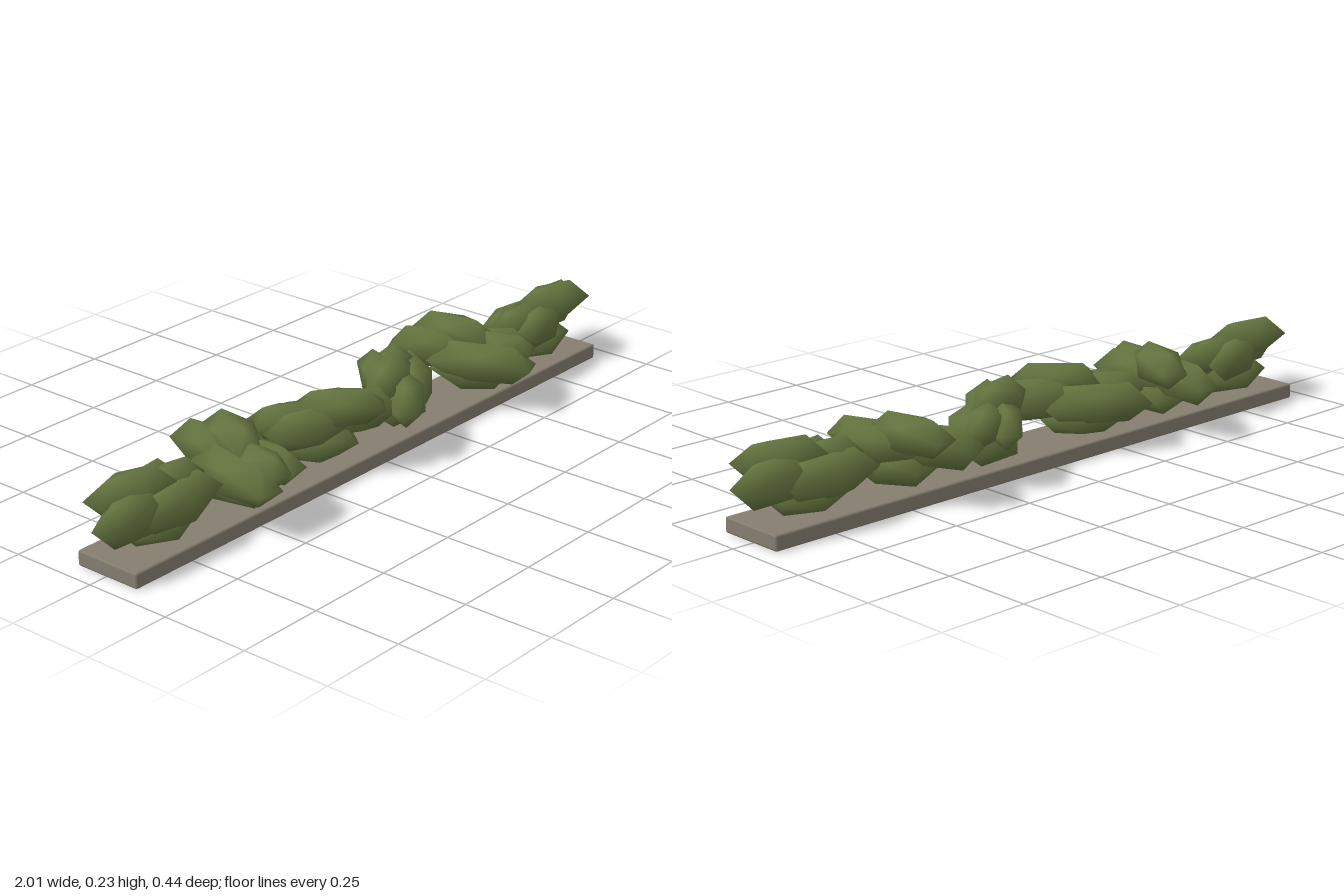
import * as THREE from 'three';
import { mergeVertices } from 'three/addons/utils/BufferGeometryUtils.js';
import { RoundedBoxGeometry } from 'three/addons/geometries/RoundedBoxGeometry.js';

// Smooth-shaded low-poly blob whose half extents are 1
function blobGeometry() {
  const raw = new THREE.IcosahedronGeometry(1 / 0.851, 0);
  raw.deleteAttribute('normal');
  raw.deleteAttribute('uv');
  const geo = mergeVertices(raw, 1e-4);
  geo.computeVertexNormals();
  return geo;
}

// Leaf clumps of one shrub: name, centre, half extents, yaw
const CLUMPS = [
  ['endClump', [-0.095, 0.15, 0.03], [0.12, 0.057, 0.055], 0.2],
  ['topClump', [-0.05, 0.185, -0.015], [0.12, 0.05, 0.058], -0.1],
  ['frontClump', [0.055, 0.132, 0.035], [0.148, 0.055, 0.058], 0.14],
  ['backClump', [0.035, 0.15, -0.045], [0.125, 0.052, 0.05], 0.4],
  ['lowerClump', [0.015, 0.093, 0], [0.11, 0.05, 0.08], 0],
  ['upperClump', [0.095, 0.162, -0.015], [0.09, 0.045, 0.05], 0.1],
];

export function createModel() {
  const model = new THREE.Group();
  model.name = 'planterRow';
  const stone = new THREE.MeshStandardMaterial({ color: 0x857d70 });
  const leaf = new THREE.MeshStandardMaterial({ color: 0x64743f });
  const blob = blobGeometry();

  // Base slab with chamfered edges
  const slab = new THREE.Mesh(new RoundedBoxGeometry(1.89, 0.043, 0.2, 1, 0.006), stone);
  slab.name = 'baseSlab';
  slab.position.set(-0.003, 0.0215, 0.006);
  model.add(slab);

  // Six copies of the shrub, each turned by a constant step
  const stemGeo = new THREE.CylinderGeometry(0.004, 0.004, 0.08, 6);
  for (let i = 0; i < 6; i++) {
    const shrub = new THREE.Group();
    shrub.name = `shrub${i + 1}`;
    shrub.position.set(-0.003 + (i - 2.5) * 0.315, 0, 0.003);
    shrub.rotation.y = -1.9 * i;
    for (const [name, centre, half, yaw] of CLUMPS) {
      const clump = new THREE.Mesh(blob, leaf);
      clump.name = name;
      clump.position.set(...centre);
      clump.scale.set(...half);
      clump.rotation.y = yaw;
      shrub.add(clump);
    }
    const stem = new THREE.Mesh(stemGeo, leaf);
    stem.name = 'stem';
    stem.position.y = 0.04;
    shrub.add(stem);
    model.add(shrub);
  }
  return model;
}
